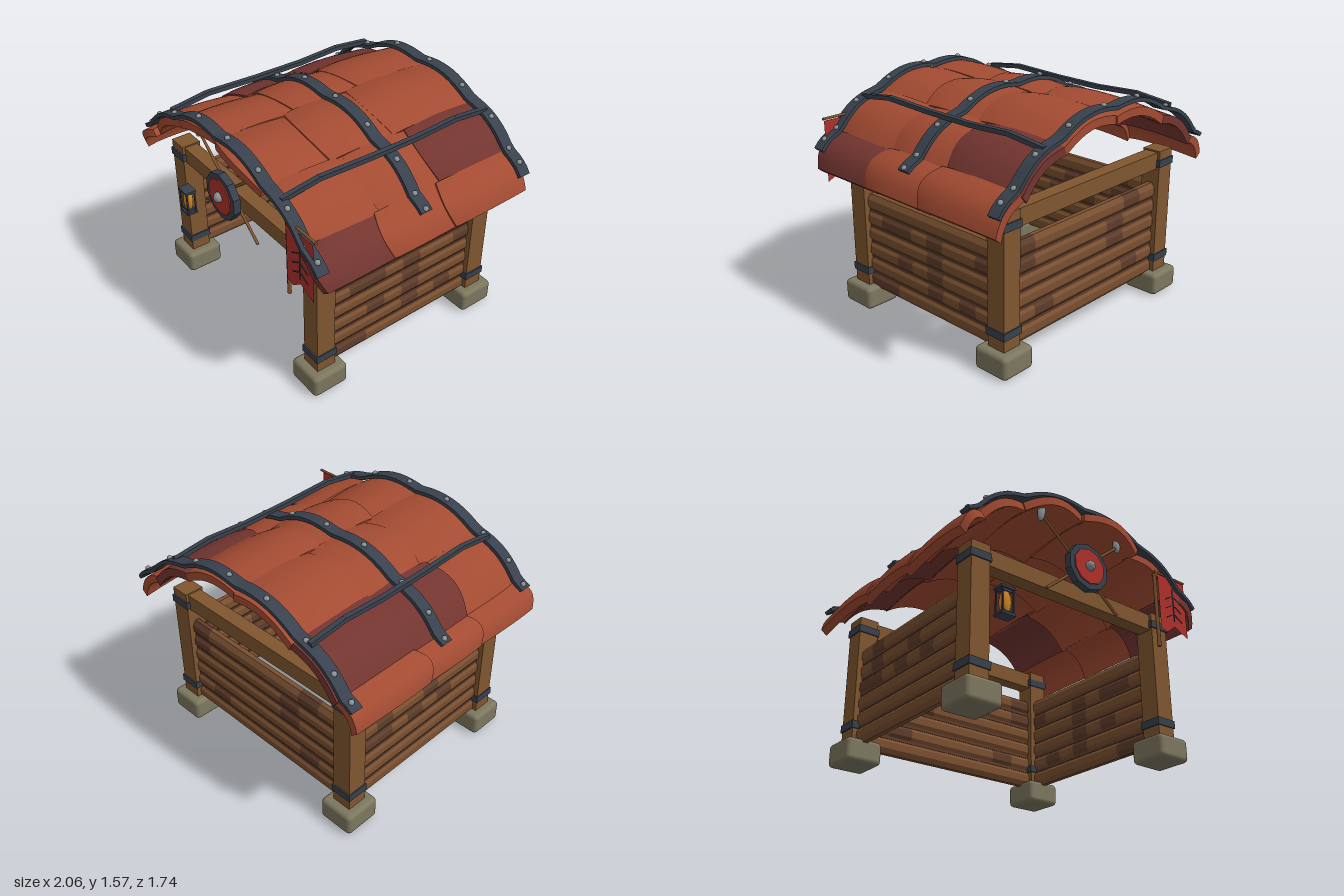
import * as THREE from 'three';
import { RoundedBoxGeometry } from 'three/addons/geometries/RoundedBoxGeometry.js';

const mat = (name, color, extra = {}) => {
  const m = new THREE.MeshStandardMaterial({ color, ...extra });
  m.name = name;
  return m;
};

export function createModel() {
  const root = new THREE.Group();
  root.name = 'shelter';
  const M = {
    wood: mat('wood', 0x80562f),
    plank: mat('plank wood', 0x7a5030),
    plankDark: mat('dark plank wood', 0x5e3c2a),
    iron: mat('dark iron', 0x38414d),
    stone: mat('stone', 0x7c775f),
    tile: mat('clay tile', 0xa34b32),
    tileDark: mat('dark clay tile', 0x733530),
    red: mat('red paint and cloth', 0xae302b, { side: THREE.DoubleSide }),
    glow: mat('amber glass', 0xcf8526),
    steel: mat('steel', 0x8d9494),
  };
  let seed = 7;
  const rand = () => (seed = (seed * 16807) % 2147483647) / 2147483647;
  const add = (name, geo, material, x = 0, y = 0, z = 0, parent = root) => {
    const m = new THREE.Mesh(geo, material);
    m.name = name;
    m.position.set(x, y, z);
    parent.add(m);
    return m;
  };
  const box = (name, material, w, h, d, x, y, z, parent) =>
    add(name, new THREE.BoxGeometry(w, h, d), material, x, y, z, parent);
  // round rod between two points
  const rod = (name, material, r, a, b, parent) => {
    const A = new THREE.Vector3(...a), B = new THREE.Vector3(...b), d = B.clone().sub(A);
    const m = add(name, new THREE.CylinderGeometry(r, r, d.length(), 8), material, 0, 0, 0, parent);
    m.position.copy(A).add(B).multiplyScalar(0.5);
    m.quaternion.setFromUnitVectors(new THREE.Vector3(0, 1, 0), d.normalize());
    return m;
  };

  // posts on stone feet with iron bands
  const XL = -0.77, XR = 0.75, ZF = 0.63, ZB = -0.66;
  for (const x of [XL, XR]) for (const z of [ZF, ZB]) {
    add('stoneFoot', new RoundedBoxGeometry(0.256, 0.158, 0.262, 3, 0.03), M.stone, x, 0.085, z);
    box('post', M.wood, 0.138, 0.92, 0.138, x, 0.6, z);
    for (const y of [0.27, 0.973]) {
      const band = box('postBand', M.iron, 0.155, 0.052, 0.155, x, y, z);
      band.rotation.z = (rand() - 0.5) * 0.05;
    }
  }
  for (const z of [ZF, ZB]) box('crossBeam', M.wood, 1.4, 0.115, 0.1, -0.01, 0.992, z);

  // walls of stacked faceted boards, each made of lengths in two tones
  const wall = (name, length, x, z, turn) => {
    const g = new THREE.Group();
    g.name = name;
    g.position.set(x, 0, z);
    g.rotation.y = turn;
    root.add(g);
    const rows = 6, step = 0.685 / rows, parts = 8, len = length / parts;
    for (let r = 0; r < rows; r++) for (let i = 0; i < parts; i++) {
      const geo = new THREE.CylinderGeometry(1, 1, len, 8, 1, false, Math.PI / 8);
      geo.rotateZ(Math.PI / 2);
      geo.scale(1, 0.0625, 0.042);
      const m = add('board', geo.toNonIndexed(), rand() < 0.2 ? M.plankDark : M.plank,
        -length / 2 + (i + 0.5) * len, 0.14 + (r + 0.5) * step, 0, g);
      m.geometry.computeVertexNormals();
    }
    // dark seams between boards
    for (let r = 1; r < rows; r++) box('boardSeam', M.plankDark, length, 0.02, 0.055, 0, 0.14 + r * step, 0, g);
  };
  wall('backWall', 1.4, -0.01, ZB, 0);
  wall('rightWall', 1.17, XL, -0.015, Math.PI / 2);
  wall('leftWall', 1.17, XR, -0.015, Math.PI / 2);

  // roof: columns of curved tiles around an arc
  const CY = 0.21, deg = Math.PI / 180;
  const edges = [-51.5, -42, -23.2, -0.9, 20.7, 39, 51.5].map(a => a * deg);
  const bend = (a, r, z) => [Math.sin(a) * r, CY + Math.cos(a) * r, z];
  // map unit-box vertices (u across, v thickness, w along z) through a rule
  const warp = (nx, nz, rule) => {
    const geo = new THREE.BoxGeometry(1, 1, 1, nx, 1, nz), p = geo.attributes.position;
    for (let i = 0; i < p.count; i++)
      p.setXYZ(i, ...rule(p.getX(i) + 0.5, p.getY(i) + 0.5, p.getZ(i) + 0.5));
    geo.computeVertexNormals();
    return geo;
  };
  const rowEnds = [
    [-0.85, -0.22, 0.27, 0.82], [-0.86, -0.24, 0.28, 0.78], [-0.87, -0.28, 0.23, 0.79],
    [-0.86, -0.17, 0.32, 0.82], [-0.86, -0.26, 0.23, 0.75], [-0.85, -0.22, 0.27, 0.77],
  ];
  const darkTiles = ['1,0', '1,1', '4,0', '5,2'];
  const roof = new THREE.Group();
  roof.name = 'roof';
  root.add(roof);
  rowEnds.forEach((ends, c) => {
    for (let r = 0; r < 3; r++) {
      const a0 = edges[c] - (c ? 0.006 : 0), a1 = edges[c + 1] + 0.004;
      const z0 = ends[r] - (r ? 0.05 : 0), z1 = ends[r + 1];
      const lift = (rand() - 0.5) * 0.012;
      const geo = warp(10, 8, (u, v, w) => {
        const bulge = Math.sin(Math.PI * u);
        const z = z0 + (z1 - z0) * w + (r < 2 || c > 1 ? 0.045 : 0.03) * bulge * w;
        const top = 1.287 + lift + 0.035 * bulge + 0.03 * w - 0.008
          + 0.012 * Math.sin(Math.PI * w) - 0.014 * Math.pow(w, 8);
        return bend(a0 + (a1 - a0) * u, top - 0.055 * (1 - v), z);
      });
      add('roofTile', geo, darkTiles.includes(c + ',' + r) ? M.tileDark : M.tile, 0, 0, 0, roof);
    }
  });

  // iron straps over the roof with bolts, following the tile humps
  const hump = a => {
    let c = 0;
    while (c < 5 && a > edges[c + 1]) c++;
    return 0.03 * Math.abs(Math.sin(Math.PI * (a - edges[c]) / (edges[c + 1] - edges[c])));
  };
  const strapTop = a => 1.338 + hump(a);
  [[0.785, -45, 47], [-0.02, -45, 44.5], [-0.825, -46, 47.5]].forEach(([z, s, e]) => {
    add('roofStrap', warp(48, 1, (u, v, w) => {
      const a = (s + (e - s) * u) * deg;
      return bend(a, strapTop(a) - 0.026 * (1 - v), z + (w - 0.5) * 0.084);
    }), M.iron, 0, 0, 0, roof);
    for (const x of [-0.935, -0.795, -0.585, -0.26, 0.065, 0.385, 0.66, 0.85, 0.935]) {
      const a = Math.asin(x / 1.355);
      const bolt = add('strapBolt', new THREE.SphereGeometry(0.019, 8, 6), M.steel, ...bend(a, strapTop(a) + 0.003, z), roof);
      bolt.rotation.z = -a;
      bolt.scale.y = 0.8;
    }
  });

  // jointed bars running front to back
  const barPoints = [[0.78, 1.425], [0.51, 1.46], [0.13, 1.445], [-0.24, 1.44], [-0.56, 1.455], [-0.83, 1.425]];
  for (const x of [-0.62, 0.6]) for (let i = 0; i < 5; i++) {
    const [za, ya] = barPoints[i], [zb, yb] = barPoints[i + 1];
    const bar = box('roofBar', M.iron, 0.034, 0.03, Math.hypot(za - zb, ya - yb) + 0.008, x, (ya + yb) / 2, (za + zb) / 2, roof);
    bar.rotation.x = -Math.atan2(ya - yb, za - zb);
  }

  // round shield over two crossed hafts
  const shield = new THREE.Group();
  shield.name = 'shield';
  shield.position.set(-0.01, 1.11, 0.8);
  root.add(shield);
  const disc = (name, m, r, d, z) => {
    const geo = new THREE.CylinderGeometry(r, r, d, 10).rotateX(Math.PI / 2).toNonIndexed();
    geo.computeVertexNormals();
    add(name, geo, m, 0, 0, z, shield);
  };
  disc('shieldRim', M.iron, 0.165, 0.05, 0);
  disc('shieldFace', M.red, 0.126, 0.01, 0.028);
  add('shieldBoss', new THREE.SphereGeometry(0.035, 10, 8), M.steel, 0, 0, 0.036, shield);
  for (const s of [-1, 1]) {
    rod('crossedHaft', M.wood, 0.01, [-0.01 - s * 0.3, 0.885, 0.755], [-0.01 + s * 0.33, 1.41, 0.755]);
    const head = add('haftHead', new THREE.SphereGeometry(1, 8, 6), M.steel, -0.01 + s * 0.332, 1.42, 0.755);
    head.scale.set(0.03, s < 0 ? 0.068 : 0.05, 0.022);
    head.rotation.z = s * 0.15;
  }

  // hanging lantern on the front post
  const lantern = new THREE.Group();
  lantern.name = 'lantern';
  lantern.position.set(-0.62, 0.685, 0.738);
  root.add(lantern);
  const glass = add('lanternGlass', new THREE.SphereGeometry(1, 10, 8), M.glow, 0, 0, 0, lantern);
  glass.scale.set(0.04, 0.085, 0.034);
  for (const s of [-1, 1]) {
    box('lanternPlate', M.iron, 0.105, 0.016, 0.08, 0, s * 0.087, 0, lantern);
    box('lanternCollar', M.iron, 0.07, 0.018, 0.055, 0, s * 0.072, 0, lantern);
    for (const t of [-1, 1]) box('lanternBar', M.iron, 0.01, 0.17, 0.01, s * 0.042, 0, t * 0.031, lantern);
  }

  // banner on a pole with a swallowtail hem and branch ornament
  const ZN = 0.8;
  rod('bannerPole', M.wood, 0.013, [0.655, 0.765, ZN - 0.02], [0.655, 1.335, ZN - 0.02]);
  rod('bannerCrossbar', M.wood, 0.009, [0.64, 1.332, ZN - 0.01], [0.94, 1.332, ZN - 0.01]);
  const cloth = new THREE.Shape([[0.665, 1.315], [0.665, 0.9], [0.725, 0.885], [0.8, 0.945], [0.925, 0.89], [0.925, 1.315]]
    .map(p => new THREE.Vector2(...p)));
  add('bannerCloth', new THREE.ShapeGeometry(cloth), M.red, 0, 0, ZN);
  const strip = (x, y, len, angle) => {
    const m = box('bannerBranch', M.iron, 0.007, len, 0.004, x, y, ZN + 0.004);
    m.rotation.z = angle;
  };
  strip(0.8, 1.11, 0.25, 0);
  for (const s of [-1, 1]) for (const y of [1.02, 1.09, 1.16]) strip(0.8 + s * 0.035, y, 0.09, s * 1.05);

  return root;
}
